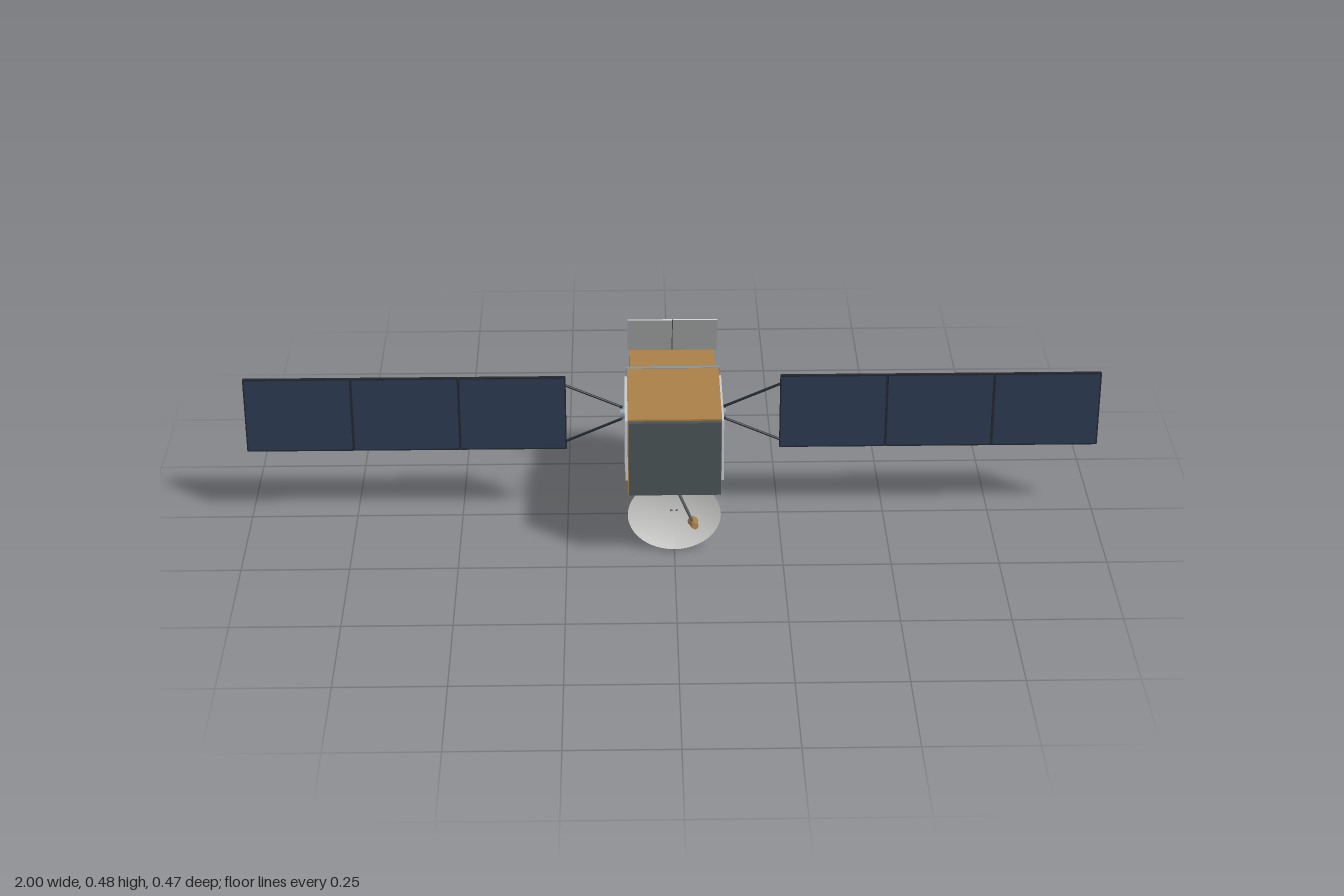
import * as THREE from 'three';
import { toCreasedNormals } from 'three/addons/utils/BufferGeometryUtils.js';

const mat = (name, color, side = THREE.FrontSide) => {
  const m = new THREE.MeshStandardMaterial({ color, side });
  m.name = name;
  return m;
};

export function createModel() {
  const root = new THREE.Group();
  root.name = 'satellite';

  const foil = mat('gold foil', 0xa87f48);
  const white = mat('radiator white', 0xc8caca);
  const dishMat = mat('dish white', 0xd0d0ce, THREE.DoubleSide);
  const steel = mat('steel grey', 0x87919b);
  const dark = mat('dark plate', 0x4a5355);
  const strutMat = mat('strut grey', 0x5c6064);
  const frame = mat('frame black', 0x20272e);
  const cell = mat('solar cell navy', 0x2c3b50);
  const back = mat('panel back grey', 0x7a8089);

  const add = (name, geo, material, x = 0, y = 0, z = 0, parent = root) => {
    const m = new THREE.Mesh(geo, material);
    m.name = name;
    m.position.set(x, y, z);
    parent.add(m);
    return m;
  };
  // Box given by its min and max corners
  const box = (name, material, a, b, parent = root) => add(name,
    new THREE.BoxGeometry(b[0] - a[0], b[1] - a[1], b[2] - a[2]), material,
    (a[0] + b[0]) / 2, (a[1] + b[1]) / 2, (a[2] + b[2]) / 2, parent);
  // Round rod, optionally tapered, between two points
  const rod = (name, material, a, b, r0, r1 = r0, parent = root, sides = 10) => {
    const p = new THREE.Vector3(...a), q = new THREE.Vector3(...b);
    const d = q.clone().sub(p);
    const m = add(name, new THREE.CylinderGeometry(r1, r0, d.length(), sides), material, 0, 0, 0, parent);
    m.position.copy(p).add(q).multiplyScalar(0.5);
    m.quaternion.setFromUnitVectors(new THREE.Vector3(0, 1, 0), d.normalize());
    return m;
  };

  // Body
  box('mainBody', foil, [-0.107, 0.18, -0.035], [0.107, 0.372, 0.225]);
  box('frontPlate', dark, [-0.105, 0.183, 0.225], [0.105, 0.368, 0.237]);
  box('collar', steel, [-0.11, 0.178, -0.042], [0.11, 0.373, -0.032]);
  box('rearBody', foil, [-0.1, 0.19, -0.212], [0.1, 0.362, -0.04]);

  // Hollow engine ring on the rear
  const ringProfile = [[0.074, 0], [0.074, 0.025], [0.055, 0.025], [0.053, 0.01], [0.044, 0.008], [0.043, 0]]
    .map(([x, y]) => new THREE.Vector2(x, y));
  const ring = toCreasedNormals(new THREE.LatheGeometry(ringProfile, 40), 0.6);
  ring.rotateX(-Math.PI / 2);
  add('engineRing', ring, steel, 0, 0.276, -0.212);

  // Each side: radiator, hinge, yoke and solar wing
  for (const s of [1, -1]) {
    const side = new THREE.Group();
    side.name = s > 0 ? 'leftSide' : 'rightSide';
    root.add(side);

    const radiator = add('radiator', new THREE.BoxGeometry(0.007, 0.154, 0.228), white, s * 0.1095, 0.275, 0.08, side);
    for (const y of [-0.045, 0, 0.045]) {
      add('radiatorStripe', new THREE.BoxGeometry(0.002, 0.003, 0.22), steel, s * 0.0035, y, 0, radiator);
    }

    rod('hingeDisc', steel, [s * 0.11, 0.275, 0.004], [s * 0.124, 0.275, 0.004], 0.0135, 0.0135, side, 24);
    add('hingeBracket', new THREE.BoxGeometry(0.005, 0.036, 0.006), frame, s * 0.121, 0.275, 0.004, side);
    for (const t of [1, -1]) {
      rod('yokeStrut', frame, [s * 0.121, 0.275 + t * 0.016, 0.004], [s * 0.253, 0.275 + t * 0.074, 0.004], 0.003, 0.003, side);
    }

    // Three hinged panels, cells in front and grey behind
    for (let i = 0; i < 3; i++) {
      const cx = s * (0.375 + i * 0.25);
      const panel = add('solarPanel', new THREE.BoxGeometry(0.246, 0.186, 0.006),
        [frame, frame, frame, frame, cell, back], cx, 0.276, 0.003, side);
      for (const t of [1, -1]) {
        add('panelEdge', new THREE.BoxGeometry(0.248, 0.003, 0.008), frame, 0, t * 0.0925, 0, panel);
        add('panelEnd', new THREE.BoxGeometry(0.003, 0.186, 0.008), frame, t * 0.1235, 0, 0, panel);
        // Dashed line on the back
        for (let k = 0; k < 9; k++) {
          add('backDash', new THREE.BoxGeometry(0.015, 0.002, 0.001), frame, -0.104 + k * 0.026, t * 0.064, -0.0032, panel);
        }
      }
    }
  }

  // Slanted rear flaps, above and below, each in two halves
  for (const t of [1, -1]) {
    const flap = new THREE.Group();
    flap.name = t > 0 ? 'upperFlap' : 'lowerFlap';
    flap.position.set(0, 0.275 + t * 0.152, -0.099);
    flap.rotation.x = t * Math.atan2(0.068, 0.11);
    root.add(flap);
    for (const s of [1, -1]) {
      add('flapPlate', new THREE.BoxGeometry(0.104, 0.13, 0.003), white, s * 0.053, 0, 0, flap);
    }
    add('flapHinge', new THREE.BoxGeometry(0.002, 0.13, 0.002), strutMat, 0, 0, 0, flap);
  }

  // Shallow oval dish, tilted slightly upwards
  const dishProfile = [];
  for (let i = 0; i <= 10; i++) {
    const r = i / 10;
    dishProfile.push(new THREE.Vector2(r, -0.0175 * (1 - r * r)));
  }
  const dishGeo = new THREE.LatheGeometry(dishProfile, 48);
  dishGeo.scale(0.108, 1, 0.0885);
  dishGeo.rotateX(Math.PI / 2);
  dishGeo.computeVertexNormals();
  add('dish', dishGeo, dishMat, 0, 0.0905, 0.163).rotation.x = -0.103;

  // Dish struts, feed arm and feed horn
  for (const s of [1, -1]) {
    rod('dishStrut', strutMat, [s * 0.03, 0.182, 0.064], [s * 0.006, 0.09, 0.146], 0.003);
  }
  rod('feedArm', strutMat, [0.006, 0.183, 0.213], [0.042, 0.098, 0.214], 0.0035);
  rod('feedHorn', foil, [0.047, 0.097, 0.231], [0.042, 0.0925, 0.198], 0.0075, 0.012, root, 20);

  return root;
}
